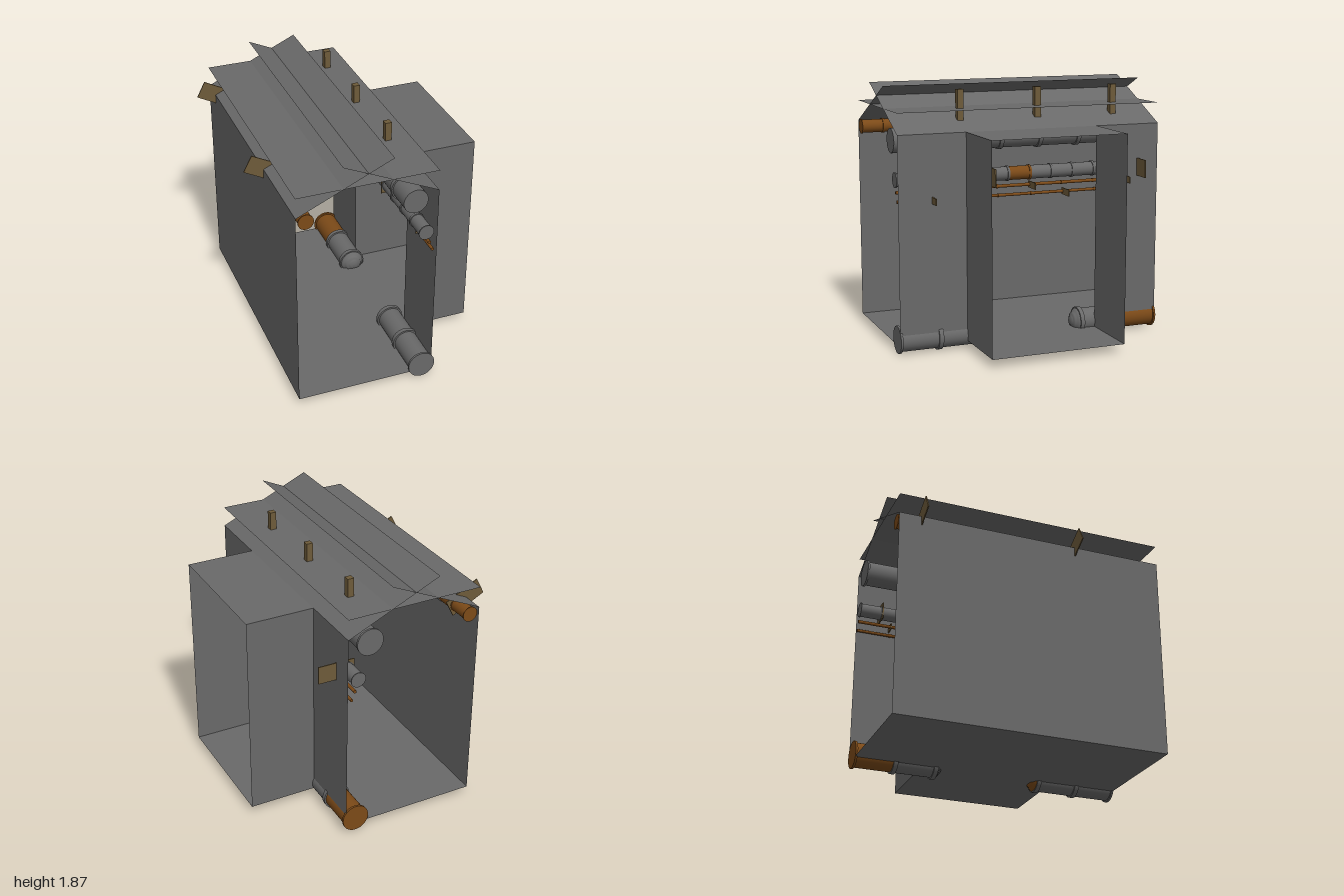
import * as THREE from 'three';

const steel = new THREE.MeshStandardMaterial({ color: 0x696969, side: THREE.DoubleSide });
steel.name = 'steel grey';
const copper = new THREE.MeshStandardMaterial({ color: 0x7c4a18 });
copper.name = 'copper brown';
const brass = new THREE.MeshStandardMaterial({ color: 0x6e5b3a });
brass.name = 'dull brass';

export function createModel() {
  const model = new THREE.Group();
  model.name = 'corridorSection';

  const add = (parent, name, geometry, material) => {
    const mesh = new THREE.Mesh(geometry, material);
    mesh.name = name;
    parent.add(mesh);
    return mesh;
  };
  const group = (name) => {
    const g = new THREE.Group();
    g.name = name;
    model.add(g);
    return g;
  };

  // Flat sheet running along z between two points of the corridor's section
  const sheet = (name, x0, y0, x1, y1, z0 = -1, z1 = 1) => {
    const geo = new THREE.PlaneGeometry(Math.hypot(x1 - x0, y1 - y0), z1 - z0);
    geo.rotateX(-Math.PI / 2);
    geo.rotateZ(Math.atan2(y1 - y0, x1 - x0));
    geo.translate((x0 + x1) / 2, (y0 + y1) / 2, (z0 + z1) / 2);
    return add(model, name, geo, steel);
  };
  const box = (parent, name, w, h, d, x, y, z, material) => {
    const mesh = add(parent, name, new THREE.BoxGeometry(w, h, d), material);
    mesh.position.set(x, y, z);
    return mesh;
  };
  // Round length of pipe along z
  const tube = (parent, name, x, y, r, z0, z1, material, sides = 32) => {
    const geo = new THREE.CylinderGeometry(r, r, z1 - z0, sides);
    geo.rotateX(Math.PI / 2);
    const mesh = add(parent, name, geo, material);
    mesh.position.set(x, y, (z0 + z1) / 2);
    return mesh;
  };
  // Collars centred on the joints, kept inside the corridor's ends
  const collars = (parent, x, y, r, w, joints, material) => joints.forEach((z) =>
    tube(parent, 'collar', x, y, r, Math.max(z - w / 2, -1), Math.min(z + w / 2, 1), material(z)));

  // Shell
  const L = -0.68, R = 0.325, OUT = 0.825, FLOOR = 0.06, TOP = 1.56;
  sheet('floor', L, FLOOR, R, FLOOR);
  sheet('leftWall', L, FLOOR, L, TOP);
  sheet('rightWallFront', R, FLOOR, R, TOP, 0.5, 1);
  sheet('rightWallBack', R, FLOOR, R, TOP, -1, -0.5);
  sheet('flatCeiling', L, 1.71, R, 1.71);
  sheet('slopedCeilingRight', R, TOP, -0.355, 1.87);
  sheet('slopedCeilingLeft', L, TOP, 0, 1.87);

  // Side alcove, open at its outer end
  sheet('alcoveFloor', R, FLOOR, OUT, FLOOR, -0.5, 0.5);
  sheet('alcoveCeiling', R, TOP, OUT, TOP, -0.5, 0.5);
  for (const z of [-0.5, 0.5]) {
    const wall = add(model, 'alcoveSideWall', new THREE.PlaneGeometry(OUT - R, TOP - FLOOR), steel);
    wall.position.set((R + OUT) / 2, (FLOOR + TOP) / 2, z);
  }

  // Large overhead pipe with its hangers
  const overhead = group('overheadPipe');
  tube(overhead, 'pipe', 0.16, 1.505, 0.088, -1, 1, steel);
  collars(overhead, 0.16, 1.505, 0.098, 0.03, [-1, -0.7, -0.4, -0.1, 0.2, 0.5, 0.8], () => steel);
  for (const z of [-0.7, -0.1, 0.49])
    box(overhead, 'hanger', 0.046, 0.26, 0.046, 0.16, 1.715, z, brass);

  // Segmented pipes, some lengths in copper
  const joints = Array.from({ length: 13 }, (_, i) => -1 + i / 6);
  const segmented = (name, x, y, copperLengths) => {
    const g = group(name);
    const isCopper = (i) => copperLengths.includes(i);
    for (let i = 0; i < 12; i++)
      tube(g, 'pipeLength', x, y, 0.049, joints[i], joints[i + 1], isCopper(i) ? copper : steel);
    collars(g, x, y, 0.055, 0.016, joints, (z) => {
      const i = Math.round((z + 1) * 6);
      return isCopper(i) || (i === 12 && isCopper(11)) ? copper : steel;
    });
    return g;
  };
  const rightPipe = segmented('rightWallPipe', 0.245, 1.24, [6]);
  const leftPipe = segmented('leftWallPipe', -0.61, 1.52, [0, 1, 3, 4, 6, 10, 11]);
  for (const z of [-0.835, 0.333]) {
    box(rightPipe, 'bracket', 0.27, 0.13, 0.008, 0.325, 1.243, z, brass);
    box(leftPipe, 'bracket', 0.27, 0.13, 0.008, -0.67, 1.56, z, brass).rotation.z = -0.48;
  }

  // Thin copper conduits with small brackets
  const conduit = (name, x, y, r, bracketX, bracketY, brackets) => {
    const g = group(name);
    tube(g, 'conduit', x, y, r, -1, 1, copper, 16);
    collars(g, x, y, r + 0.003, 0.012, [-0.75, -0.5, -0.25, 0, 0.25, 0.5, 0.75], () => copper);
    for (const z of brackets)
      box(g, 'bracket', 0.127, 0.048, 0.008, bracketX, bracketY, z, brass);
  };
  conduit('upperConduit', 0.27, 1.155, 0.012, 0.317, 1.155, [-0.75, 0]);
  conduit('lowerConduit', 0.295, 1.094, 0.011, 0.342, 1.094, [-0.25, 0.75]);

  // Floor pipes ending in a stepped cap at the alcove
  const capProfile = [[0, 0], [0.092, 0], [0.09, 0.018], [0.078, 0.032], [0.066, 0.036],
    [0.064, 0.046], [0.05, 0.053], [0.034, 0.056], [0.03, 0.064], [0, 0.066]]
    .map(([r, h]) => new THREE.Vector2(r, h));
  for (const s of [1, -1]) {
    const g = group(s > 0 ? 'frontFloorPipe' : 'backFloorPipe');
    const length = (a, b, m) =>
      tube(g, 'pipeLength', 0.25, 0.1, 0.088, Math.min(a * s, b * s), Math.max(a * s, b * s), m);
    length(0.4, 0.7, steel);
    length(0.7, 1, s > 0 ? steel : copper);
    collars(g, 0.25, 0.1, 0.1, 0.032, [0.4 * s, 0.7 * s, s], (z) => (z === -1 ? copper : steel));
    const cap = add(g, 'steppedCap', new THREE.LatheGeometry(capProfile, 32), s > 0 ? copper : steel);
    cap.rotation.x = -s * Math.PI / 2;
    cap.position.set(0.25, 0.1, 0.4 * s);
  }
  return model;
}
